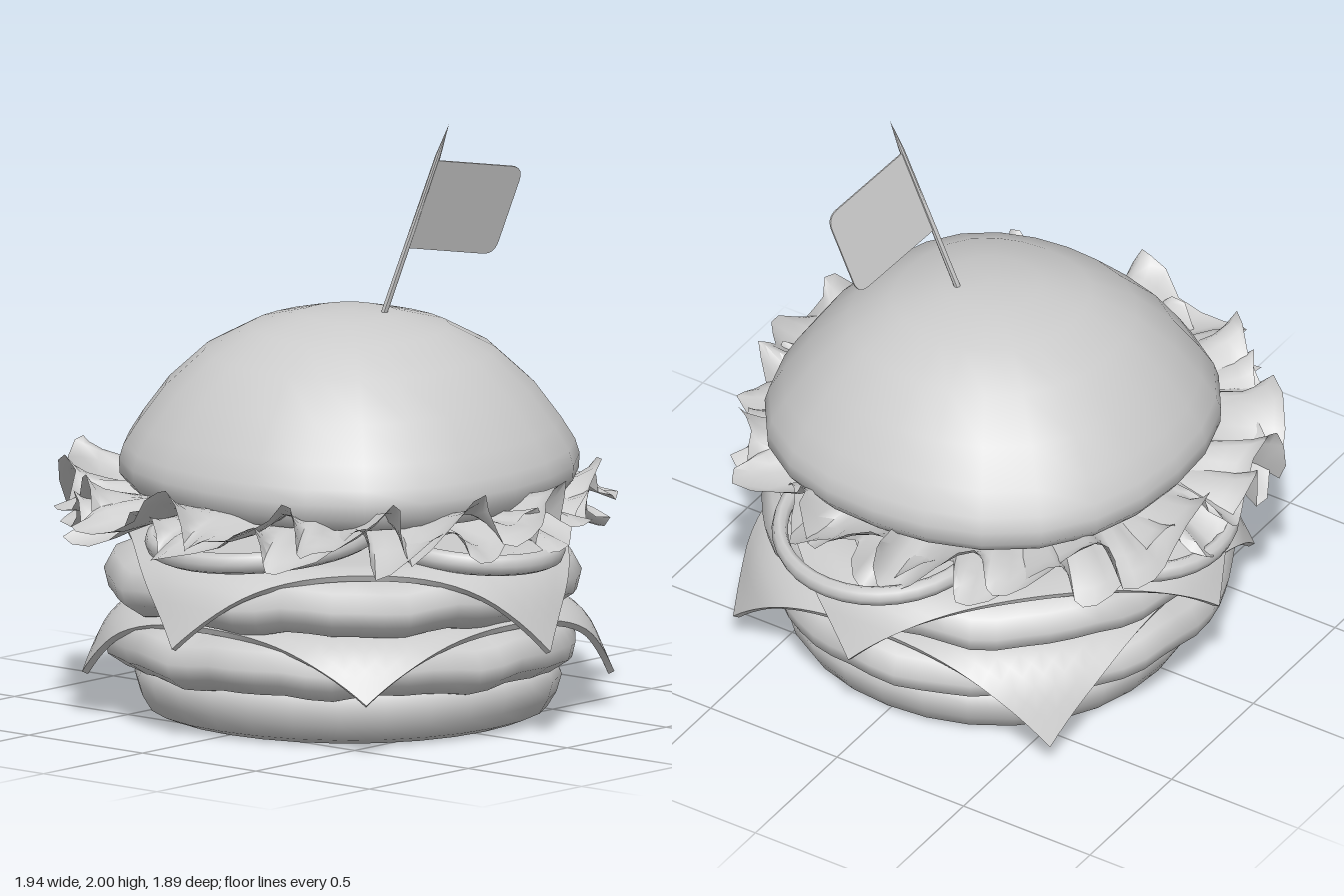
import * as THREE from 'three';
import { toCreasedNormals } from 'three/addons/utils/BufferGeometryUtils.js';

const CX = 0.04; // the stack sits slightly towards +x

export function createModel() {
  const model = new THREE.Group();
  model.name = 'burger';
  const clay = new THREE.MeshStandardMaterial({ color: 0xcccccc, side: THREE.DoubleSide });
  clay.name = 'plain grey';

  let seed = 7;
  const rand = () => (seed = (seed * 16807) % 2147483647) / 2147483647;

  function add(name, geometry, crease = 0.9, parent = model) {
    const mesh = new THREE.Mesh(toCreasedNormals(geometry, crease), clay);
    mesh.name = name;
    parent.add(mesh);
    return mesh;
  }

  // Move every vertex of a geometry by a rule
  function warp(geometry, rule) {
    const p = geometry.attributes.position, v = new THREE.Vector3();
    for (let i = 0; i < p.count; i++) {
      rule(v.fromBufferAttribute(p, i));
      p.setXYZ(i, v.x, v.y, v.z);
    }
    return geometry;
  }

  // Spun parts from [radius, height] profiles, listed bottom to top
  const lathe = (profile, sides) =>
    new THREE.LatheGeometry(profile.map(([r, y]) => new THREE.Vector2(r, y)), sides);

  // Buns, slightly square in plan
  function bun(name, profile, sides, square) {
    return add(name, warp(lathe(profile, sides), (v) => {
      const k = 1 + square * (1 - Math.cos(4 * Math.atan2(v.z, v.x)));
      v.x *= k;
      v.z *= k;
    }), 0.9);
  }
  bun('bottomBun', [[0, 0], [0.6, 0], [0.65, 0.02], [0.68, 0.07], [0.697, 0.13],
    [0.68, 0.17], [0.62, 0.19], [0, 0.19]], 28, 0.01).position.x = CX;
  const topBun = bun('topBun', [[0, -0.05], [0.62, -0.05], [0.7, -0.03], [0.732, 0.01], [0.735, 0.06], [0.72, 0.11],
    [0.675, 0.185], [0.59, 0.305], [0.465, 0.425], [0.32, 0.505], [0.16, 0.547], [0, 0.558]], 24, 0.022);
  topBun.position.set(CX + 0.005, 0.8, 0);
  topBun.rotation.set(0.03, 0, 0.03);

  // Patties with lumpy rims
  function patty(name, y, phase, tuck) {
    const g = lathe([[0, 0], [0.6, -0.005], [0.71, 0.012], [0.775, 0.055], [0.787, 0.105],
      [0.755, 0.165], [0.67, 0.2], [0.5, 0.21], [0, 0.21]], 56);
    add(name, warp(g, (v) => {
      const a = Math.atan2(v.z, v.x), r = Math.hypot(v.x, v.z);
      const k = 1 + tuck * Math.cos(4 * a) + 0.006 * Math.sin(5 * a + phase) + 0.006 * Math.sin(11 * a + 2 * phase);
      v.x *= k;
      v.z *= k;
      if (r > 0.3) v.y += 0.008 * Math.sin(9 * a + phase) + 0.005 * Math.sin(17 * a);
    }), 1.1).position.set(CX - 0.02, y, -0.01);
  }
  patty('lowerPatty', 0.16, 1, 0.006);
  patty('upperPatty', 0.37, 3.4, -0.008);

  // Cheese squares draped over the patty rims
  function cheese(name, y, half, yaw, start, lean) {
    const bend = 0.22, steep = 1.15, thick = 0.022;
    const g = new THREE.BoxGeometry(2 * half, thick, 2 * half, 28, 1, 28).rotateY(yaw);
    add(name, warp(g, (v) => {
      const r = Math.hypot(v.x, v.z) || 1, t = Math.max(0, r - start);
      const angle = Math.min(t / bend, 1) * steep, rest = Math.max(0, t - bend);
      const out = Math.min(r, start) + bend / steep * Math.sin(angle) + rest * Math.cos(steep);
      const drop = bend / steep * (1 - Math.cos(angle)) + rest * Math.sin(steep);
      const nx = v.x / r, nz = v.z / r, side = v.y;
      const reach = out + side * Math.sin(angle);
      v.set(CX + nx * reach, y + side * Math.cos(angle) - drop * (1 + lean[0] * nx + lean[1] * nz), nz * reach);
    }), 0.8);
  }
  cheese('lowerCheese', 0.378, 0.715, 0, 0.64, [0.16, -0.1]);
  cheese('upperCheese', 0.594, 0.72, Math.PI / 4, 0.645, [-0.06, 0.16]);

  // Onion rings around the stack, tipped outwards
  const rings = [
    [Math.PI / 2, 0.56, 0.35, 0.685, 0.07],
    [-Math.PI / 2, 0.45, 0.37, 0.665, 0.02],
    [0, 0.54, 0.29, 0.635, 0],
    [Math.PI, 0.55, 0.33, 0.655, 0],
  ];
  rings.forEach(([angle, distance, radius, y, z], i) => {
    const g = new THREE.TorusGeometry(radius, 0.027, 8, 36).rotateX(Math.PI / 2).scale(1, 1.35, 1);
    const ring = add('onionRing' + (i + 1), g, 1.2);
    ring.position.set(CX + Math.sin(angle) * distance, y, z + Math.cos(angle) * distance);
    ring.rotation.set(0.12, angle, 0, 'YXZ');
  });

  // Ruffled lettuce: a flat ring whose outer rows wave more and more and curl at the rim
  function lettuce(name, y, outer, lift, droop, phase) {
    const inner = 0.5, segments = 132, rows = 7;
    const g = new THREE.RingGeometry(inner, outer, segments, rows).rotateX(-Math.PI / 2);
    const jitter = Array.from({ length: segments }, () => rand() - 0.5);
    let i = 0;
    add(name, warp(g, (v) => {
      const row = Math.floor(i / (segments + 1)), column = (i % (segments + 1)) % segments;
      i++;
      const a = column / segments * Math.PI * 2, w = row / rows, n = jitter[column];
      const big = Math.sin(14 * a + phase + 1.5 * w + 0.8 * Math.sin(3 * a));
      const small = Math.sin(25 * a + 2 * phase - 2 * w + Math.sin(5 * a));
      const curl = Math.max(0, w - 0.7) / 0.3;
      const r = inner + (outer - inner) * w + w * (0.025 * Math.sin(7 * a + phase) + 0.025 * small + 0.025 * n)
        - curl * curl * 0.03 * (1 + big);
      const turn = a + w * 0.06 * Math.cos(14 * a + phase + 0.8 * Math.sin(3 * a));
      const height = lift * w * (0.75 * big + 0.35 * small + 0.3 * n) + curl * 0.025 * big - droop * w * w;
      v.set(-0.04 + r * Math.cos(turn), y + height, -0.01 - r * Math.sin(turn));
    }), 1.2);
  }
  lettuce('upperLettuce', 0.765, 0.925, 0.08, 0, 0.4);
  lettuce('lowerLettuce', 0.735, 0.895, 0.065, 0.04, 2.3);

  // Flag on a leaning pick
  const pick = new THREE.Group();
  pick.name = 'flagPick';
  const up = new THREE.Vector3(0.08, 0.65, 0.215).normalize();
  const across = new THREE.Vector3(0.36, -0.065, 0.06).normalize();
  const facing = new THREE.Vector3().crossVectors(across, up).normalize();
  across.crossVectors(up, facing);
  pick.quaternion.setFromRotationMatrix(new THREE.Matrix4().makeBasis(across, up, facing));
  pick.position.set(0.103, 1.35, 0.105);
  model.add(pick);

  add('stick', new THREE.CylinderGeometry(0.009, 0.011, 0.67, 8).translate(0, 0.235, 0), 0.9, pick);
  add('stickPoint', new THREE.ConeGeometry(0.009, 0.117, 8).translate(0, 0.6285, 0), 0.9, pick);

  // Flag with two rounded outer corners
  const w = 0.38, low = 0.235, high = 0.555, c = 0.05;
  const outline = new THREE.Shape();
  outline.moveTo(0, low);
  outline.lineTo(w - c, low);
  outline.quadraticCurveTo(w, low, w, low + c);
  outline.lineTo(w, high - c);
  outline.quadraticCurveTo(w, high, w - c, high);
  outline.lineTo(0, high);
  const flag = new THREE.ExtrudeGeometry(outline, { depth: 0.006, bevelEnabled: false, curveSegments: 6 });
  add('flag', flag.translate(0, 0, -0.003), 0.5, pick);

  return model;
}
